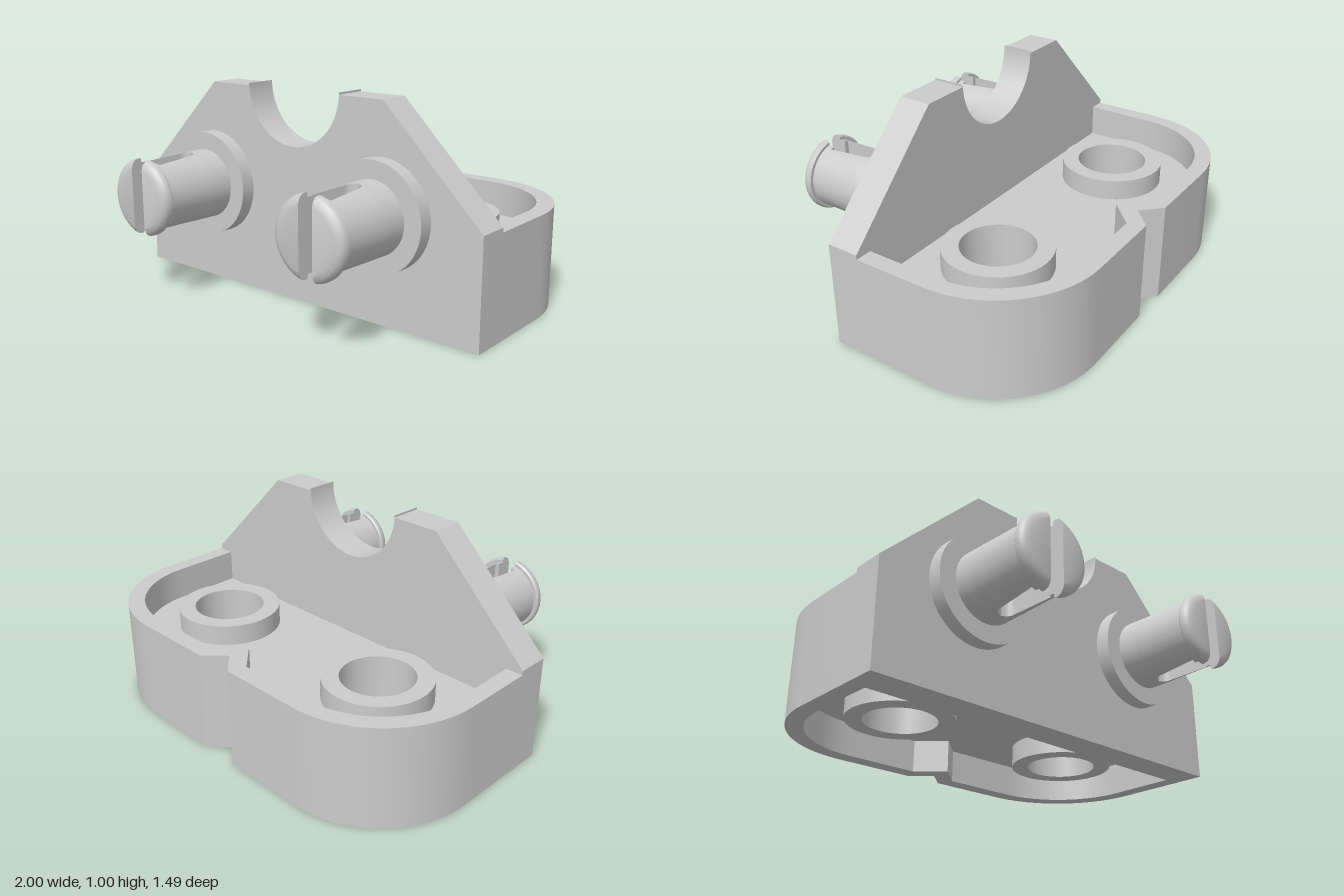
import * as THREE from 'three';
import { toCreasedNormals } from 'three/addons/utils/BufferGeometryUtils.js';

const material = new THREE.MeshStandardMaterial({ color: 0xcccccc });
const PX = 0.505; // side offset of pegs and bosses

function mesh(name, geometry, crease = 0.5) {
  const m = new THREE.Mesh(toCreasedNormals(geometry, crease), material);
  m.name = name;
  return m;
}

const extrude = (shape, depth) =>
  new THREE.ExtrudeGeometry(shape, { depth, bevelEnabled: false, curveSegments: 32 });

// Extrude a plan-view shape (x, -z) upward between two heights
const slab = (shape, y0, y1) =>
  extrude(shape, y1 - y0).rotateX(-Math.PI / 2).translate(0, y0, 0);

function circle(x, y, r, T = THREE.Path) {
  const p = new T();
  p.absarc(x, y, r, 0, Math.PI * 2, false);
  return p;
}

// Plan outline of the tray: straight sides, round back corners, V notch
function outline(r, notchX, notchY) {
  const corner = [];
  for (let i = 0; i <= 20; i++) {
    const a = (i / 20) * Math.PI / 2;
    corner.push(new THREE.Vector2(0.5 + r * Math.cos(a), 0.245 + r * Math.sin(a)));
  }
  const half = [new THREE.Vector2(0.5 + r, -0.1), ...corner, new THREE.Vector2(notchX, 0.245 + r)];
  const mirrored = half.map(p => new THREE.Vector2(-p.x, p.y)).reverse();
  return [...half, new THREE.Vector2(0, notchY), ...mirrored];
}

// One prong: D-shaped sections lofted along z, each [z, radius, slot half width]
function prongGeometry() {
  const stations = [
    [0.42, 0.165, 0], [0.425, 0.165, 0.019], [0.435, 0.165, 0.031], [0.445, 0.165, 0.037],
    [0.46, 0.164, 0.04], [0.66, 0.16, 0.056], [0.66, 0.16, 0.035], [0.69, 0.16, 0.035],
    [0.69, 0.174, 0.035], [0.697, 0.18, 0.035], [0.712, 0.18, 0.035], [0.727, 0.174, 0.035],
    [0.738, 0.161, 0.035], [0.745, 0.14, 0.035],
  ];
  const n = 25, pos = [], idx = [];
  for (const [z, r, w] of stations) {
    const half = Math.acos(w / r);
    for (let j = 0; j < n; j++) {
      const a = -half + (2 * half * j) / (n - 1);
      pos.push(r * Math.cos(a), r * Math.sin(a), z);
    }
  }
  for (let i = 0; i < stations.length - 1; i++) {
    for (let j = 0; j < n; j++) {
      const a = i * n + j, b = i * n + (j + 1) % n;
      idx.push(a, b, b + n, a, b + n, a + n);
    }
  }
  const end = (stations.length - 1) * n;
  for (let j = 1; j < n - 1; j++) idx.push(end, end + j, end + j + 1);
  const g = new THREE.BufferGeometry();
  g.setAttribute('position', new THREE.Float32BufferAttribute(pos, 3));
  g.setIndex(idx);
  return g;
}

const rod = (r0, r1, z0, z1) =>
  new THREE.CylinderGeometry(r1, r0, z1 - z0, 48).rotateX(Math.PI / 2).translate(0, 0, (z0 + z1) / 2);

// Split snap peg with its round collar
function createPeg(name) {
  const peg = new THREE.Group();
  peg.name = name;
  peg.add(mesh('collar', rod(0.25, 0.25, 0.25, 0.325)));
  peg.add(mesh('shaft', rod(0.167, 0.165, 0.32, 0.42)));
  for (const side of ['left', 'right']) {
    const prong = mesh(side + 'Prong', prongGeometry(), 0.6);
    if (side === 'right') prong.rotation.z = Math.PI;
    peg.add(prong);
  }
  return peg;
}

export function createModel() {
  const model = new THREE.Group();
  model.name = 'bracket';

  // Upright front plate with sloped shoulders and a half-round cut-out
  const plate = new THREE.Shape();
  plate.moveTo(-1, 0);
  plate.lineTo(1, 0);
  plate.lineTo(1, 0.5);
  plate.lineTo(0.505, 0.99);
  plate.lineTo(0.27, 0.99);
  plate.absarc(0, 1.0, 0.27, 0, -Math.PI, true);
  plate.lineTo(-0.27, 0.99);
  plate.lineTo(-0.505, 0.99);
  plate.lineTo(-1, 0.5);
  model.add(mesh('frontPlate', extrude(plate, 0.155).translate(0, 0, 0.1)));

  // Tray wall and the recessed floor inside it
  const outer = outline(0.5, 0.095, 0.655);
  const inner = outline(0.42, 0.125, 0.545);
  const wall = new THREE.Shape([...outer, ...[...inner].reverse()]);
  model.add(mesh('trayWall', slab(wall, 0, 0.48), 0.4));

  const floor = new THREE.Shape(inner);
  for (const s of [-1, 1]) floor.holes.push(circle(s * PX, 0.25, 0.24));
  model.add(mesh('trayFloor', slab(floor, 0.16, 0.32)));

  // Hollow bosses and pegs, one on each side
  for (const s of [-1, 1]) {
    const side = s > 0 ? 'left' : 'right';
    const ring = circle(s * PX, 0.25, 0.25, THREE.Shape);
    ring.holes.push(circle(s * PX, 0.25, 0.17));
    model.add(mesh(side + 'Boss', slab(ring, 0.06, 0.42)));

    const peg = createPeg(side + 'Peg');
    peg.position.set(s * PX, 0.5, 0);
    model.add(peg);
  }
  return model;
}
